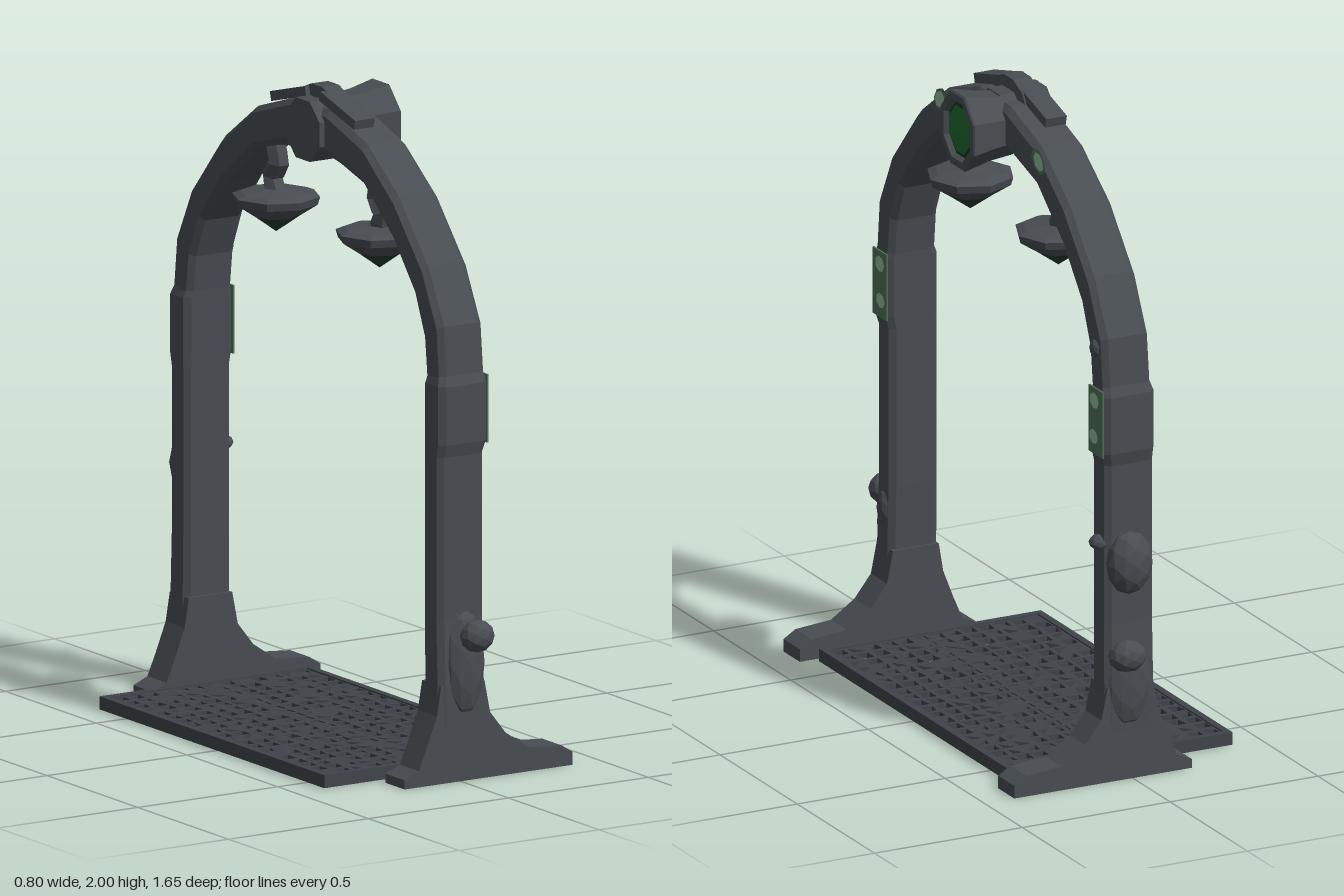
import * as THREE from 'three';

const mat = (name, color, extra = {}) => {
  const m = new THREE.MeshStandardMaterial({ color, flatShading: true, ...extra });
  m.name = name;
  return m;
};

export function createModel() {
  const root = new THREE.Group();
  root.name = 'archGate';
  const iron = mat('dark iron', 0x484d52);
  const grateIron = mat('grate iron', 0x40444a);
  const lensGreen = mat('lens green', 0x1f6a30);
  const rimGreen = mat('lens rim green', 0x17361d);
  const lampGreen = mat('lamp glass green', 0x25402c);
  const panelGreen = mat('panel green', 0x4f7056);
  const paleGreen = mat('pale green', 0x8cbd98);

  const add = (name, geo, material, x = 0, y = 0, z = 0, parent = root) => {
    const m = new THREE.Mesh(geo, material);
    m.name = name;
    m.position.set(x, y, z);
    parent.add(m);
    return m;
  };
  const box = (name, w, h, d, x, y, z, material = iron, parent = root) =>
    add(name, new THREE.BoxGeometry(w, h, d), material, x, y, z, parent);
  const poly = (pts) => new THREE.Shape(pts.map(([a, b]) => new THREE.Vector2(a, b)));
  const extrude = (shape, depth) => new THREE.ExtrudeGeometry(shape, { depth, bevelEnabled: false });
  const lathe = (pts, n) => new THREE.LatheGeometry(pts.map(([r, h]) => new THREE.Vector2(r, h)), n);

  // Everything on the arch is mirrored about this plane
  const arch = new THREE.Group();
  arch.name = 'arch';
  arch.position.z = -0.01;
  root.add(arch);

  // Arch beam: chamfered section swept up one leg and down the other
  // rows: outer z, outer y, inner z, inner y, x min, x max
  const rows = [
    [0.745, 0.01, 0.65, 0.01, -0.075, 0.09],
    [0.75, 0.3, 0.655, 0.3, -0.075, 0.09],
    [0.742, 0.5, 0.652, 0.5, -0.075, 0.088],
    [0.742, 1.0, 0.652, 1.0, -0.075, 0.088],
    [0.753, 1.04, 0.652, 1.04, -0.075, 0.097],
    [0.753, 1.22, 0.652, 1.22, -0.075, 0.097],
    [0.742, 1.25, 0.652, 1.24, -0.066, 0.092],
    [0.728, 1.4, 0.638, 1.35, -0.065, 0.092],
    [0.64, 1.57, 0.59, 1.47, -0.065, 0.092],
    [0.475, 1.755, 0.475, 1.61, -0.065, 0.092],
    [0.3, 1.88, 0.305, 1.75, -0.062, 0.092],
    [0.1, 1.945, 0.09, 1.81, -0.062, 0.092],
  ];
  const path = [...rows, ...rows.slice().reverse().map(([a, b, c, d, e, f]) => [-a, b, -c, d, e, f])];
  const section = [[0.12, 0], [0.88, 0], [1, 0.15], [1, 0.85], [0.88, 1], [0.12, 1], [0, 0.85], [0, 0.15]];
  const pos = [], idx = [];
  path.forEach(([oz, oy, iz, iy, x0, x1], r) => {
    section.forEach(([u, t], i) => {
      pos.push(x0 + (x1 - x0) * u, iy + (oy - iy) * t, iz + (oz - iz) * t);
      if (r === path.length - 1) return;
      const j = (i + 1) % 8, a = r * 8;
      idx.push(a + i, a + 8 + i, a + j, a + j, a + 8 + i, a + 8 + j);
    });
  });
  const beam = new THREE.BufferGeometry();
  beam.setAttribute('position', new THREE.Float32BufferAttribute(pos, 3));
  beam.setIndex(idx);
  beam.computeVertexNormals();
  add('archBeam', beam, iron, 0, 0, 0, arch);

  // Thin painted patch facing +x
  const patch = (name, material, x, y, z, ry, rz, tilt = 0) => {
    const g = new THREE.CircleGeometry(1, 7);
    g.rotateY(Math.PI / 2).scale(1, ry, rz).rotateX(tilt);
    add(name, g, material, x, y, z, arch);
  };

  // Flared foot profile, seen along z
  const footShape = poly([[-0.2, 0], [0.4, 0], [0.4, 0.04], [0.36, 0.065], [0.24, 0.075], [0.16, 0.13],
    [0.105, 0.2], [0.085, 0.3], [-0.07, 0.3], [-0.085, 0.21], [-0.12, 0.12], [-0.15, 0.05], [-0.2, 0.028]]);
  const lampPts = [[0.07, 0.05], [0.128, 0.088], [0.135, 0.112], [0.11, 0.122], [0.045, 0.13], [0, 0.14]];

  for (const s of [1, -1]) {
    const side = s > 0 ? 'front' : 'back';
    add(side + 'Foot', extrude(footShape, 0.105), iron, 0, 0, s * 0.695 - 0.0525, arch);

    // Glowing panel on the leg, and patch on the curve
    box(side + 'LegPanel', 0.006, 0.21, 0.09, 0.098, 1.135, s * 0.7, panelGreen, arch);
    patch(side + 'PanelSpotUpper', paleGreen, 0.103, 1.2, s * 0.695, 0.026, 0.03);
    patch(side + 'PanelSpotLower', paleGreen, 0.103, 1.085, s * 0.69, 0.024, 0.028);
    patch(side + 'CurvePatch', panelGreen, 0.094, 1.84, s * 0.315, 0.036, 0.048, s * 0.5);
    patch(side + 'CurveSpot', paleGreen, 0.096, 1.84, s * 0.32, 0.026, 0.034, s * 0.5);

    // Hanging lamp: shade, glass tip, crooked stem and bracket
    const lamp = new THREE.Group();
    lamp.name = side + 'Lamp';
    lamp.position.set(0.01, 1.49, s * 0.285);
    arch.add(lamp);
    add('lampShade', lathe(lampPts, 8), iron, 0, 0, 0, lamp);
    add('lampGlass', lathe([[0, 0], [0.07, 0.05]], 8), lampGreen, 0, 0, 0, lamp);
    const stem = new THREE.CatmullRomCurve3([[0, 0.12], [0.02, 0.17], [-0.015, 0.21], [0.0, 0.26], [0.01, 0.32]]
      .map(([z, y]) => new THREE.Vector3(0, y, s * z)));
    add('lampStem', new THREE.TubeGeometry(stem, 8, 0.034, 6), iron, 0, 0, 0, lamp);
    const bracket = box('lampBracket', 0.09, 0.03, 0.22, 0.01, 1.795, s * 0.19, iron, arch);
    bracket.rotation.x = s * 0.17;

    // Raised brace rising to the crown
    const brace = box(side + 'CrownBrace', 0.07, 0.03, 0.2, -0.01, 1.95, s * 0.135, iron, arch);
    brace.rotation.x = s * 0.27;
  }

  // Crown hub and ridge
  const hub = new THREE.CylinderGeometry(0.1, 0.1, 0.16, 8).rotateZ(Math.PI / 2).rotateX(Math.PI / 8);
  add('crownHub', hub, iron, 0, 1.87, 0, arch);
  const ridge = extrude(poly([[-0.12, 1.92], [0.12, 1.92], [0.09, 1.975], [0.03, 2], [-0.03, 2], [-0.09, 1.975]]), 0.06);
  ridge.rotateY(-Math.PI / 2);
  add('crownRidge', ridge, iron, 0.03, 0, 0, arch);

  // Central lamp facing +x
  const eye = new THREE.Group();
  eye.name = 'centralLamp';
  eye.position.set(0.04, 1.862, -0.01);
  eye.scale.z = 0.92;
  arch.add(eye);
  const turn = (g) => g.rotateZ(-Math.PI / 2).rotateX(Math.PI / 8);
  add('lampHousing', turn(lathe([[0, 0], [0.1, 0], [0.108, 0.08], [0.128, 0.165], [0.122, 0.17], [0.1, 0.17], [0.09, 0.155]], 8)),
    iron, 0, 0, 0, eye);
  add('lensRim', turn(lathe([[0.092, 0.154], [0.068, 0.158]], 8)), rimGreen, 0, 0, 0, eye);
  add('lens', turn(lathe([[0.078, 0.159], [0, 0.163]], 8)), lensGreen, 0, 0, 0, eye);

  // Lumps and fittings on the legs: x, y, z, half sizes
  [['frontKnob', 0.035, 0.45, 0.785, 0.055, 0.05, 0.045],
    ['frontKnobBase', 0.02, 0.36, 0.735, 0.07, 0.17, 0.04],
    ['backLumpUpper', 0.015, 0.69, -0.755, 0.075, 0.1, 0.055],
    ['backLumpLower', 0.03, 0.4, -0.77, 0.06, 0.05, 0.05],
    ['backLumpBase', 0.01, 0.3, -0.735, 0.075, 0.14, 0.035],
    ['backSideStud', 0.085, 0.75, -0.7, 0.035, 0.025, 0.035],
    ['frontSideStud', 0.08, 0.42, 0.7, 0.025, 0.06, 0.035],
    ['backCurveStud', 0.085, 1.36, -0.68, 0.022, 0.03, 0.03],
  ].forEach(([name, x, y, z, a, b, c]) =>
    add(name, new THREE.IcosahedronGeometry(1, 1).scale(a, b, c), iron, x, y, z, arch));

  // Floor grate: thin plate with irregular holes
  let seed = 7;
  const rnd = () => (seed = (seed * 16807) % 2147483647) / 2147483647;
  const grate = new THREE.Group();
  grate.name = 'floorGrate';
  grate.position.set(-0.025, 0, -0.017);
  root.add(grate);
  const W = 0.375, D = 0.62, nx = 13, nz = 21;
  const plate = poly([[-W, -D], [W, -D], [W, D], [-W, D]]);
  const cw = (2 * W - 0.04) / nx, cd = (2 * D - 0.04) / nz;
  for (let i = 0; i < nx; i++) for (let k = 0; k < nz; k++) {
    if (rnd() < 0.06) continue;
    const cx = -W + 0.02 + (i + 0.5) * cw, cz = -D + 0.02 + (k + 0.5) * cd;
    const pts = [[-1, -1], [-1, 1], [1, 1], [1, -1]].map(([a, b]) =>
      [cx + a * cw * (0.28 + rnd() * 0.16), cz + b * cd * (0.28 + rnd() * 0.16)]);
    if (rnd() < 0.55) pts.splice(Math.floor(rnd() * 4), 1);
    plate.holes.push(new THREE.Path(pts.map(([a, b]) => new THREE.Vector2(a, b))));
  }
  add('gratePlate', extrude(plate, 0.018).rotateX(-Math.PI / 2), grateIron, 0, 0.02, 0, grate);

  // Grate frame and support ribs
  for (const s of [-1, 1]) {
    box('grateSideRail', 0.022, 0.04, 2 * D, s * (W - 0.011), 0.023, 0, grateIron, grate);
    box('grateEndRail', 2 * W, 0.04, 0.022, 0, 0.023, s * (D - 0.011), grateIron, grate);
    box('grateCrossRib', 2 * W, 0.028, 0.03, 0, 0.02, s * 0.2, grateIron, grate);
  }
  box('grateSpine', 0.06, 0.028, 2 * D, 0.02, 0.02, 0, grateIron, grate);

  return root;
}
